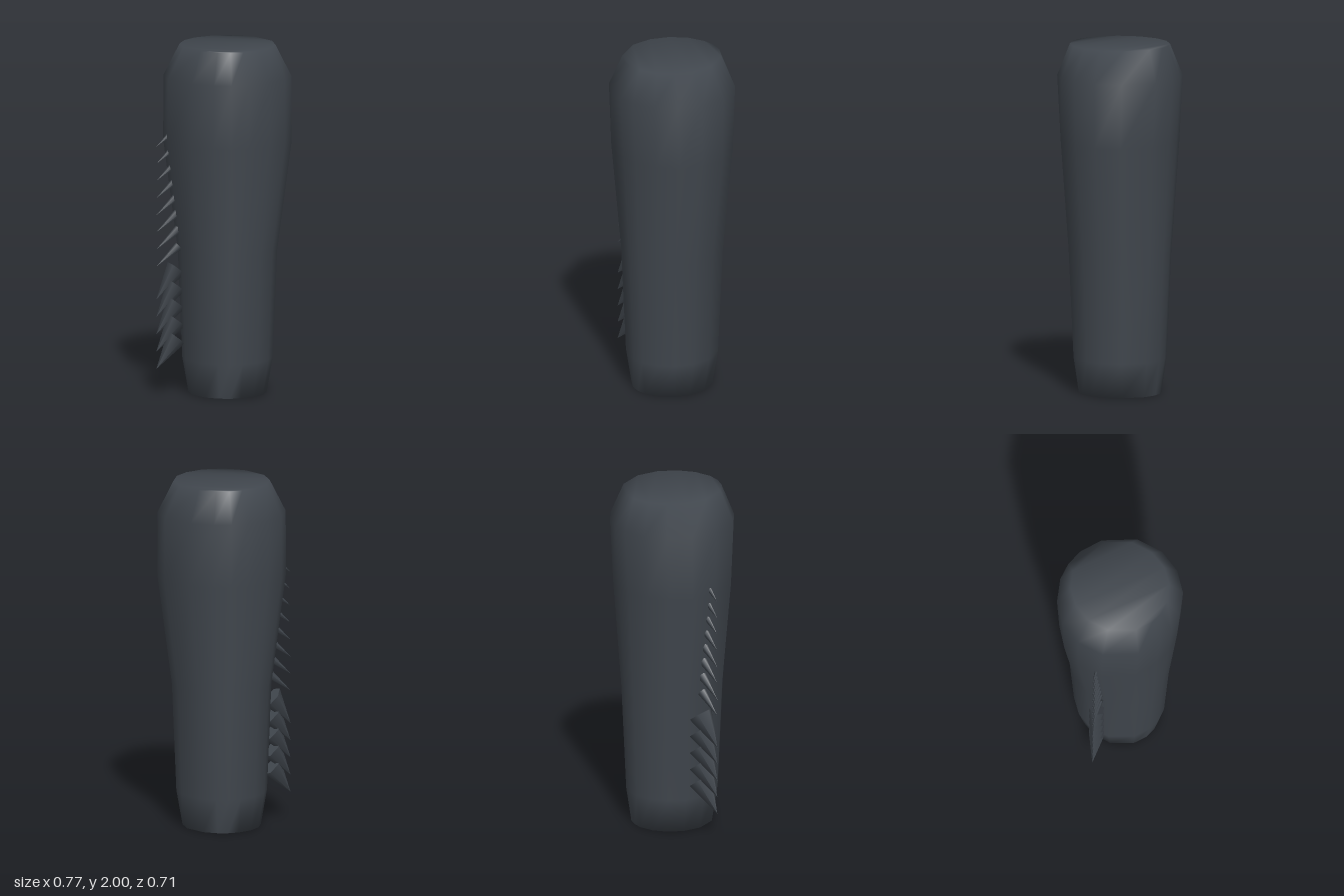
import * as THREE from 'three';

const shell = new THREE.MeshStandardMaterial({ color: 0x40464d });
shell.name = 'dark slate';

// Limb cross-sections: height, half width in x, half depth in z
const RINGS = [
  [0, 0.222, 0.235],
  [0.2, 0.257, 0.264],
  [0.82, 0.282, 0.292],
  [1.45, 0.365, 0.334],
  [1.82, 0.363, 0.355],
  [2, 0.272, 0.285],
];
const HALF_TURN = [0, 16, 38, 60, 83, 109, 142, 164];
const ANGLES = [...HALF_TURN, ...HALF_TURN.map((a) => a + 180)];

// Closed smooth body lofted through the rings
function limbGeometry() {
  const n = ANGLES.length;
  const pos = [];
  const index = [];
  for (const [y, rx, rz] of RINGS) {
    for (const deg of ANGLES) {
      const a = THREE.MathUtils.degToRad(deg);
      pos.push(0.02 + rx * Math.sin(a), y, rz * Math.cos(a));
    }
  }
  for (let j = 0; j < RINGS.length - 1; j++) {
    for (let i = 0; i < n; i++) {
      const a = j * n + i;
      const b = j * n + ((i + 1) % n);
      index.push(a, b, b + n, a, b + n, a + n);
    }
  }
  // Flat ends, filled with strips so the shading rolls over the rim
  const top = (RINGS.length - 1) * n;
  for (let k = 0; k < n / 2 - 1; k++) {
    const [a, b, c, d] = [k, k + 1, n - 2 - k, n - 1 - k];
    index.push(top + a, top + b, top + c, top + a, top + c, top + d);
    index.push(a, c, b, a, d, c);
  }
  const g = new THREE.BufferGeometry();
  g.setAttribute('position', new THREE.Float32BufferAttribute(pos, 3));
  g.setIndex(index);
  g.computeVertexNormals();
  return g;
}

// Pointed spine running from its base centre to its tip
function spine(name, base, tip, radius, flatten) {
  const axis = tip.clone().sub(base);
  const length = axis.length();
  const geo = new THREE.ConeGeometry(radius, length, 6);
  geo.scale(1, 1, flatten);
  geo.translate(0, length / 2, 0);
  const mesh = new THREE.Mesh(geo, shell);
  mesh.name = name;
  mesh.position.copy(base);
  mesh.quaternion.setFromUnitVectors(new THREE.Vector3(0, 1, 0), axis.normalize());
  return mesh;
}

export function createModel() {
  const model = new THREE.Group();
  model.name = 'spinedLimb';

  const limb = new THREE.Mesh(limbGeometry(), shell);
  limb.name = 'limb';
  model.add(limb);

  const spines = new THREE.Group();
  spines.name = 'spineRow';
  // Broad lower spines
  for (let i = 0; i < 5; i++) {
    const y = 0.15 + i * 0.1;
    spines.add(spine('broadSpine',
      new THREE.Vector3(-0.275, y + 0.17, 0.04), new THREE.Vector3(-0.39, y, 0.09), 0.075, 0.6));
  }
  // Slim upper spines
  for (let i = 0; i < 8; i++) {
    const y = 0.74 + i * 0.0985;
    spines.add(spine('slimSpine',
      new THREE.Vector3(-0.26, y + 0.11, 0.055), new THREE.Vector3(-0.39, y, 0.09), 0.028, 0.7));
  }
  model.add(spines);
  return model;
}
